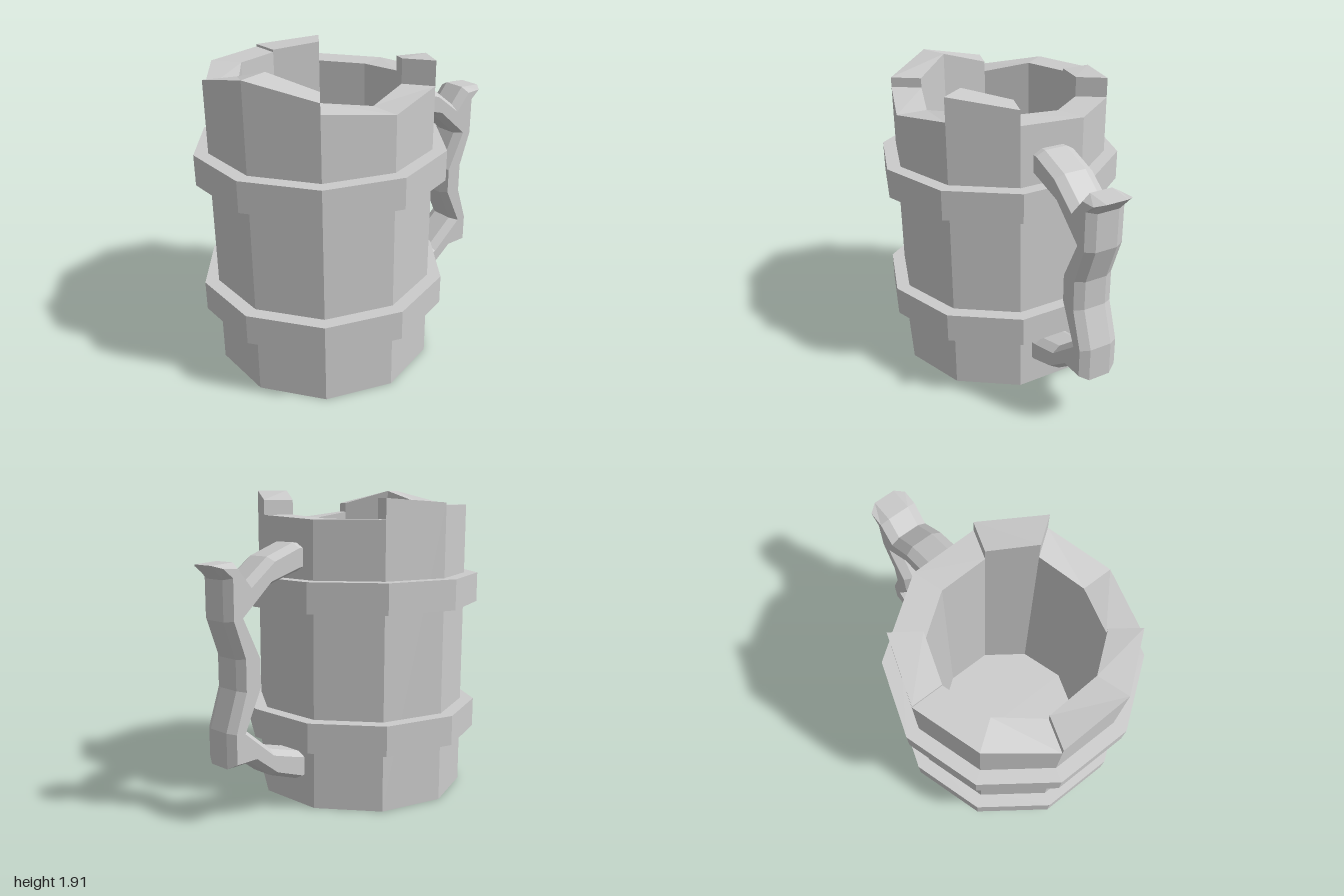
import * as THREE from 'three';

const CX = -0.275, SIDES = 10, R_OUT = 0.675, R_IN = 0.483, FLOOR = 0.18;

// Rim height of each stave at its two edges, going round from the handle side.
const RIM = [
  [1.855, 1.915], [1.77, 1.72], [1.72, 1.77], [1.83, 1.915], [1.915, 1.825],
  [1.76, 1.825], [1.825, 1.825], [1.84, 1.866], [1.745, 1.745], [1.745, 1.765],
];

const material = () => new THREE.MeshStandardMaterial({ color: 0xcccccc, flatShading: true });

function add(group, name, geometry) {
  const mesh = new THREE.Mesh(geometry, material());
  mesh.name = name;
  group.add(mesh);
  return mesh;
}

// Hollow ten-sided vessel whose staves end at uneven heights
function vesselGeometry() {
  const pos = [];
  const point = (i, r, y) => {
    const a = (18 + 36 * i) * Math.PI / 180;
    return [r * Math.cos(a), y, r * Math.sin(a)];
  };
  const tri = (a, b, c) => pos.push(...a, ...b, ...c);
  const quad = (a, b, c, d) => { tri(a, b, c); tri(a, c, d); };

  for (let i = 0; i < SIDES; i++) {
    const j = i + 1;
    const [h0, h1] = RIM[i];
    const next = RIM[j % SIDES][0];
    const out = (k, y) => point(k, R_OUT, y);
    const inn = (k, y) => point(k, R_IN, y);
    quad(out(j, 0), out(i, 0), out(i, h0), out(j, h1));            // outer wall
    quad(inn(i, FLOOR), inn(j, FLOOR), inn(j, h1), inn(i, h0));    // inner wall
    quad(out(i, h0), inn(i, h0), inn(j, h1), out(j, h1));          // rim
    if (next !== h1) quad(out(j, h1), inn(j, h1), inn(j, next), out(j, next)); // step between staves
    tri([0, 0, 0], out(i, 0), out(j, 0));                          // underside
    tri([0, FLOOR, 0], inn(j, FLOOR), inn(i, FLOOR));              // inside floor
  }
  const g = new THREE.BufferGeometry();
  g.setAttribute('position', new THREE.Float32BufferAttribute(pos, 3));
  g.computeVertexNormals();
  return g;
}

// Flat hoop around the vessel
function hoopGeometry(y0, y1) {
  const profile = [[0.65, y0], [0.76, y0], [0.76, y1], [0.65, y1]];
  return new THREE.LatheGeometry(profile.map(([x, y]) => new THREE.Vector2(x, y)), SIDES);
}

// Branch-like handle: a side outline extruded with chamfered edges
function handleGeometry() {
  const outline = [
    [0.30, 0.163], [0.39, 0.163], [0.60, 0.24], [0.755, 0.36], [0.92, 0.36], [0.92, 0.57],
    [0.842, 0.80], [0.842, 0.98], [0.92, 1.20], [0.92, 1.43], [0.995, 1.512],
    [0.845, 1.522], [0.757, 1.42], [0.60, 1.54], [0.40, 1.61], [0.30, 1.61],
    [0.30, 1.455], [0.40, 1.435], [0.60, 1.375], [0.79, 1.21], [0.677, 0.98],
    [0.677, 0.80], [0.79, 0.565], [0.60, 0.405], [0.40, 0.345], [0.30, 0.325],
  ];
  const shape = new THREE.Shape(outline.map(([x, y]) => new THREE.Vector2(x, y)));
  const g = new THREE.ExtrudeGeometry(shape, {
    depth: 0.14, bevelEnabled: true, bevelSegments: 1,
    bevelThickness: 0.055, bevelSize: 0.03, bevelOffset: -0.03,
  });
  return g.translate(0, 0, -0.07);
}

export function createModel() {
  const group = new THREE.Group();
  group.name = 'tankard';
  add(group, 'vessel', vesselGeometry()).position.x = CX;
  add(group, 'lowerHoop', hoopGeometry(0.375, 0.56)).position.x = CX;
  add(group, 'upperHoop', hoopGeometry(1.21, 1.395)).position.x = CX;
  add(group, 'handle', handleGeometry());
  return group;
}
